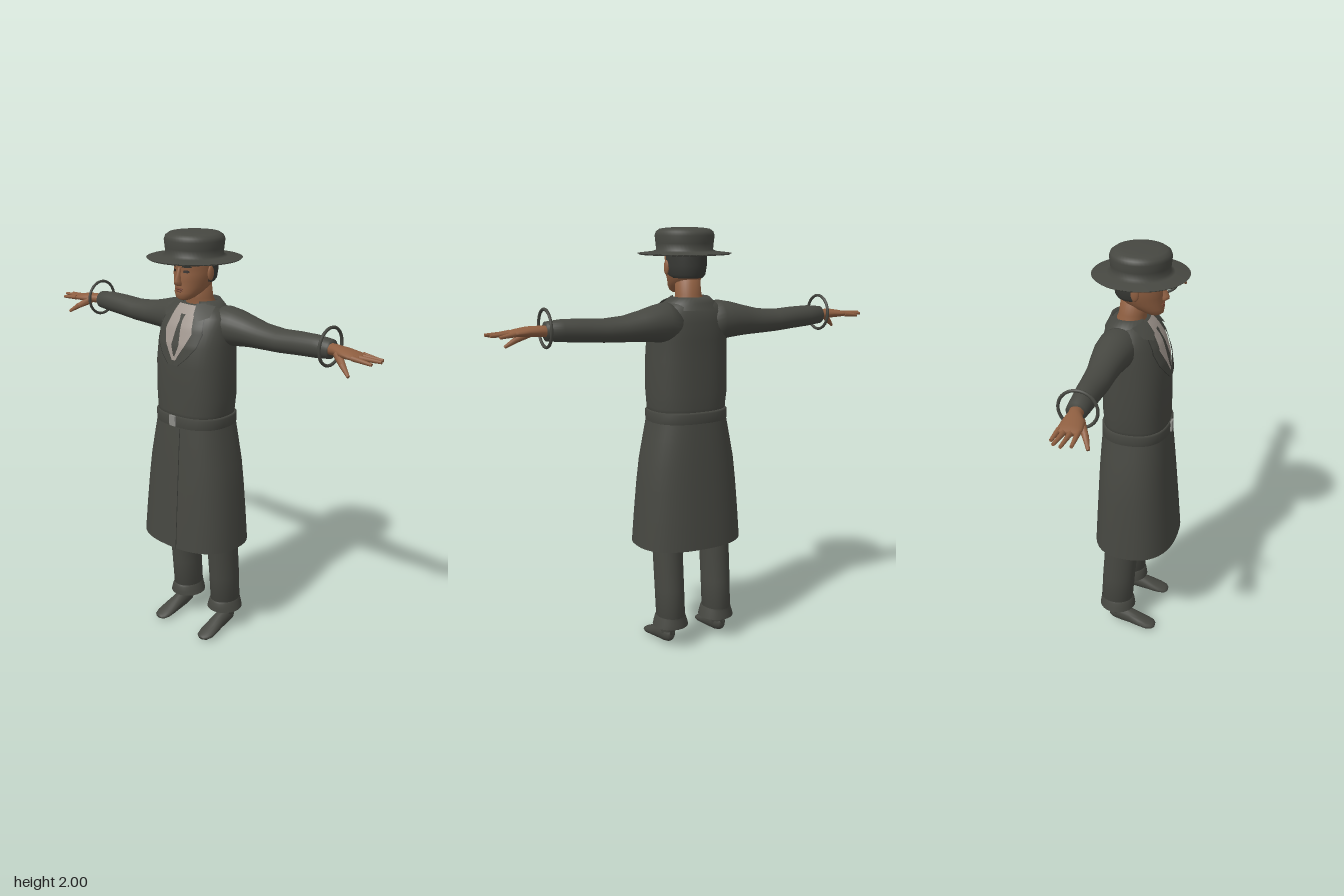
import * as THREE from 'three';

const mat = (name, color) => {
  const m = new THREE.MeshStandardMaterial({ color, side: THREE.DoubleSide });
  m.name = name;
  return m;
};

// Skin a row of superellipse sections [t, centreU, centreV, radiusU, radiusV] along an axis
function loft(axis, sections, { n = 2, seg = 28, cap = true, from = 0, to = Math.PI * 2 } = {}) {
  const closed = to - from > 6.28;
  const cols = closed ? seg : seg + 1;
  const pos = [], idx = [];
  const put = (t, u, v) => pos.push(...(axis === 'y' ? [u, t, v] : axis === 'x' ? [t, u, v] : [u, v, t]));
  const bend = c => Math.sign(c) * Math.abs(c) ** (2 / n);
  const s = axis === 'y' ? 1 : -1;
  for (const [t, cu, cv, ru, rv] of sections)
    for (let j = 0; j < cols; j++) {
      const a = from + (to - from) * j / seg;
      put(t, cu + ru * bend(Math.cos(a)), cv + s * rv * bend(Math.sin(a)));
    }
  for (let i = 0; i < sections.length - 1; i++)
    for (let j = 0; j < seg; j++) {
      const a = i * cols + j, b = i * cols + (j + 1) % cols;
      idx.push(a, a + cols, b, b, a + cols, b + cols);
    }
  if (cap && closed)
    for (const i of [0, sections.length - 1]) {
      const c = pos.length / 3;
      put(...sections[i].slice(0, 3));
      for (let j = 0; j < seg; j++) {
        const a = i * cols + j, b = i * cols + (j + 1) % cols;
        idx.push(...(i ? [a, c, b] : [b, c, a]));
      }
    }
  return build(pos, idx);
}

function build(pos, idx) {
  const g = new THREE.BufferGeometry();
  g.setAttribute('position', new THREE.Float32BufferAttribute(pos, 3));
  g.setIndex(idx);
  g.computeVertexNormals();
  return g;
}

// Front surface height of a lofted body at x, y
function frontZ(sections, n, x, y) {
  let i = 0;
  while (i < sections.length - 2 && y > sections[i + 1][0]) i++;
  const a = sections[i], b = sections[i + 1];
  const k = (y - a[0]) / (b[0] - a[0]);
  const [, , cz, rx, rz] = a.map((v, q) => v + (b[q] - v) * k);
  return cz + rz * Math.max(0, 1 - Math.min(1, Math.abs(x / rx)) ** n) ** (1 / n);
}

// Thin patch lying on a body; rows are [y, xStart, xEnd] from the top down
function patch(body, n, rows, off) {
  const pos = [], idx = [], cols = 8, sub = 5;
  const total = (rows.length - 1) * sub;
  for (let r = 0; r <= total; r++) {
    const i = Math.min(Math.floor(r / sub), rows.length - 2), k = r / sub - i;
    const [y, x0, x1] = rows[i].map((v, q) => v + (rows[i + 1][q] - v) * k);
    for (let c = 0; c <= cols; c++) {
      const x = x0 + (x1 - x0) * c / cols;
      pos.push(x, y, frontZ(body, n, x, y) + off);
    }
  }
  for (let r = 0; r < total; r++)
    for (let c = 0; c < cols; c++) {
      const a = r * (cols + 1) + c, b = a + cols + 1;
      idx.push(a, b, a + 1, a + 1, b, b + 1);
    }
  return build(pos, idx);
}

// Tapered rod between two points
function rod(a, b, r0, r1) {
  const p = new THREE.Vector3(...a), d = new THREE.Vector3(...b).sub(p);
  const g = new THREE.CylinderGeometry(r1, r0, d.length(), 10);
  g.translate(0, d.length() / 2, 0);
  g.applyQuaternion(new THREE.Quaternion().setFromUnitVectors(new THREE.Vector3(0, 1, 0), d.normalize()));
  return g.translate(p.x, p.y, p.z);
}

function ball(x, y, z, rx, ry, rz) {
  return new THREE.SphereGeometry(1, 16, 12).scale(rx, ry, rz).translate(x, y, z);
}

function mirrored(g) {
  const m = g.clone().scale(-1, 1, 1), ix = m.index.array;
  for (let i = 0; i < ix.length; i += 3) [ix[i], ix[i + 1]] = [ix[i + 1], ix[i]];
  m.computeVertexNormals();
  return m;
}

export function createModel() {
  const cloth = mat('dark cloth', 0x464741), skin = mat('skin', 0x8f5f41);
  const linen = mat('shirt linen', 0xa1978f), hairMat = mat('hair', 0x383935);
  const metal = mat('buckle metal', 0x8c8c88), lipMat = mat('lips', 0x70412f);
  const seam = mat('seam', 0x30312d), eyeMat = mat('eyes', 0x2b211b);
  const root = new THREE.Group();
  const add = (name, g, m) => {
    const mesh = new THREE.Mesh(g, m);
    mesh.name = name;
    root.add(mesh);
  };
  const pair = (name, g, m) => {
    add(name + 'Left', g, m);
    add(name + 'Right', mirrored(g), m);
  };

  // Hat
  const hat = [[0.09, 1.883], [0.21, 1.879], [0.217, 1.885], [0.15, 1.893], [0.131, 1.9], [0.134, 1.93],
    [0.138, 1.965], [0.132, 1.982], [0.115, 1.994], [0.08, 1.999], [0, 2]];
  add('hat', new THREE.LatheGeometry(hat.map(p => new THREE.Vector2(...p)), 48), cloth);

  // Head and neck
  const head = [[1.703, 0, 0.065, 0.026, 0.026], [1.712, 0, 0.06, 0.042, 0.043], [1.735, 0, 0.035, 0.06, 0.072],
    [1.76, 0, 0.01, 0.072, 0.092], [1.79, 0, 0, 0.083, 0.103], [1.82, 0, -0.005, 0.089, 0.107],
    [1.84, 0, -0.007, 0.089, 0.105], [1.86, 0, -0.005, 0.091, 0.109], [1.895, 0, -0.007, 0.089, 0.105]];
  add('head', loft('y', head), skin);
  add('neck', loft('y', [[1.6, 0, -0.05, 0.09, 0.075], [1.66, 0, -0.045, 0.077, 0.07],
    [1.7, 0, -0.037, 0.06, 0.062], [1.78, 0, -0.025, 0.058, 0.062]]), skin);
  add('hair', loft('y', [[1.775, 0, -0.02, 0.073, 0.085], [1.79, 0, -0.01, 0.087, 0.105],
    [1.83, 0, -0.009, 0.094, 0.112], [1.895, 0, -0.009, 0.095, 0.112]], { from: Math.PI - 0.12, to: Math.PI * 2 + 0.12 }), hairMat);
  add('nose', loft('y', [[1.768, 0, 0.1, 0.012, 0.012], [1.777, 0, 0.108, 0.018, 0.02],
    [1.79, 0, 0.106, 0.013, 0.024], [1.82, 0, 0.1, 0.009, 0.016], [1.85, 0, 0.098, 0.008, 0.008]], { seg: 12 }), skin);
  add('upperLip', ball(0, 1.753, 0.101, 0.024, 0.005, 0.007), lipMat);
  add('lowerLip', ball(0, 1.743, 0.1, 0.02, 0.005, 0.008), lipMat);
  pair('ear', ball(0.096, 1.822, -0.003, 0.009, 0.034, 0.019), skin);
  pair('eye', patch(head, 2, [[1.838, 0.025, 0.044], [1.832, 0.021, 0.05], [1.827, 0.026, 0.043]], 0.002), eyeMat);
  pair('eyebrow', patch(head, 2, [[1.859, 0.022, 0.052], [1.851, 0.016, 0.06]], 0.003), hairMat);

  // Coat body
  const torso = [[1.13, 0, -0.0125, 0.183, 0.152], [1.18, 0, -0.0125, 0.187, 0.1525], [1.25, 0, -0.015, 0.194, 0.155],
    [1.4, 0, -0.0125, 0.193, 0.1525], [1.5, 0, -0.02, 0.19, 0.147], [1.58, 0, -0.0325, 0.187, 0.1335],
    [1.625, 0, -0.04, 0.175, 0.115], [1.65, 0, -0.043, 0.15, 0.1], [1.675, 0, -0.045, 0.105, 0.08]];
  const N = 2.4;
  add('coatBody', loft('y', torso, { n: N, seg: 40 }), cloth);

  // Shirt, tie and lapels
  add('shirt', patch(torso, N, [[1.673, -0.06, 0.06], [1.62, -0.07, 0.07], [1.56, -0.085, 0.085],
    [1.5, -0.06, 0.06], [1.43, -0.014, 0.014]], 0.003), linen);
  add('tie', patch(torso, N, [[1.635, -0.014, 0.014], [1.61, -0.008, 0.008], [1.5, -0.022, 0.022], [1.45, -0.004, 0.004]], 0.006), cloth);
  const lapel = [[1.67, 0.058, 0.095], [1.62, 0.066, 0.118], [1.56, 0.082, 0.13], [1.5, 0.055, 0.115], [1.45, 0.022, 0.075], [1.41, 0, 0.03]];
  pair('lapel', patch(torso, N, lapel, 0.008), cloth);
  pair('lapelEdge', patch(torso, N, lapel.map(([y, , x]) => [y, x - 0.002, x + 0.002]), 0.009), seam);

  // Collar band and folded points
  add('collar', loft('y', [[1.635, 0, -0.045, 0.15, 0.115], [1.665, 0, -0.046, 0.125, 0.098], [1.692, 0, -0.048, 0.09, 0.085],
    [1.665, 0, -0.046, 0.082, 0.076]], { from: Math.PI * 0.68, to: Math.PI * 2.32 }), cloth);
  pair('collarPoint', build([0.05, 1.685, 0.04, 0.12, 1.675, -0.01, 0.138, 1.635, 0.05, 0.1, 1.618, 0.088, 0.065, 1.64, 0.078],
    [0, 4, 3, 0, 3, 2, 0, 2, 1]), cloth);

  // Belt and buckle
  add('belt', loft('y', [[1.108, 0, -0.014, 0.186, 0.154], [1.114, 0, -0.014, 0.193, 0.161],
    [1.158, 0, -0.014, 0.194, 0.162], [1.166, 0, -0.014, 0.187, 0.155]], { n: N, seg: 40 }), cloth);
  add('buckle', new THREE.BoxGeometry(0.036, 0.05, 0.009).translate(0, 1.142, 0.15), metal);

  // Coat skirt with its overlapping front edge
  const skirt = [[0.51, 0, -0.011, 0.267, 0.202], [0.65, 0, -0.012, 0.257, 0.193], [0.8, 0, -0.013, 0.244, 0.183],
    [0.92, 0, -0.014, 0.23, 0.175], [1.03, 0, -0.014, 0.208, 0.167], [1.12, 0, -0.014, 0.19, 0.159]];
  add('coatSkirt', loft('y', skirt, { n: N, seg: 40, cap: false }), cloth);
  add('coatFrontEdge', patch(skirt, N, [[1.11, 0.041, 0.045], [0.51, 0.053, 0.057]], 0.003), seam);

  // Sleeves and cuff rings
  pair('sleeve', loft('x', [[0.08, 1.575, -0.06, 0.085, 0.095], [0.14, 1.578, -0.068, 0.093, 0.093], [0.2, 1.577, -0.076, 0.083, 0.087],
    [0.27, 1.571, -0.08, 0.07, 0.076], [0.35, 1.563, -0.08, 0.059, 0.066], [0.45, 1.561, -0.078, 0.053, 0.062],
    [0.55, 1.568, -0.077, 0.052, 0.055], [0.64, 1.572, -0.075, 0.05, 0.048], [0.715, 1.573, -0.075, 0.042, 0.043]]), cloth);
  pair('cuffRing', new THREE.TorusGeometry(0.082, 0.007, 8, 36).rotateY(Math.PI / 2).translate(0.713, 1.585, -0.068), cloth);

  // Hands
  pair('hand', loft('x', [[0.69, 1.573, -0.075, 0.026, 0.032], [0.74, 1.575, -0.071, 0.024, 0.029], [0.79, 1.575, -0.06, 0.022, 0.046],
    [0.84, 1.572, -0.058, 0.017, 0.05], [0.875, 1.57, -0.058, 0.011, 0.046]], { seg: 18 }), skin);
  const tips = [[0.925, 1.562, -0.107, -0.098], [0.96, 1.568, -0.086, -0.072], [0.974, 1.57, -0.053, -0.046], [0.95, 1.562, -0.018, -0.02]];
  for (const [x, y, z, z0] of tips) pair('finger', rod([0.855, 1.571, z0], [x, y, z], 0.012, 0.007), skin);
  pair('thumbBase', rod([0.77, 1.568, -0.04], [0.825, 1.533, -0.002], 0.02, 0.013), skin);
  pair('thumbTip', rod([0.82, 1.537, -0.005], [0.867, 1.503, 0.02], 0.014, 0.007), skin);

  // Trousers with flared turn-ups
  pair('trouserLeg', loft('y', [[0.125, 0.127, -0.095, 0.068, 0.08], [0.3, 0.128, -0.082, 0.069, 0.082],
    [0.51, 0.128, -0.063, 0.07, 0.084], [0.75, 0.115, -0.045, 0.08, 0.092], [1, 0.09, -0.02, 0.085, 0.1]]), cloth);
  pair('turnUp', loft('y', [[0.11, 0.127, -0.09, 0.086, 0.09], [0.13, 0.127, -0.09, 0.08, 0.088],
    [0.152, 0.127, -0.09, 0.073, 0.084], [0.162, 0.127, -0.093, 0.068, 0.081]], { cap: false }), cloth);

  // Shoes
  pair('ankle', loft('y', [[0.05, 0.142, -0.085, 0.032, 0.042], [0.2, 0.138, -0.09, 0.035, 0.045]], { seg: 18 }), cloth);
  pair('shoe', loft('z', [[-0.127, 0.142, 0.06, 0.018, 0.022], [-0.11, 0.142, 0.062, 0.03, 0.036], [-0.07, 0.142, 0.06, 0.034, 0.046],
    [-0.02, 0.143, 0.047, 0.036, 0.04], [0.03, 0.146, 0.032, 0.042, 0.029], [0.07, 0.148, 0.021, 0.043, 0.021],
    [0.1, 0.148, 0.015, 0.034, 0.014], [0.112, 0.148, 0.013, 0.018, 0.007]], { seg: 20 }), cloth);
  return root;
}
